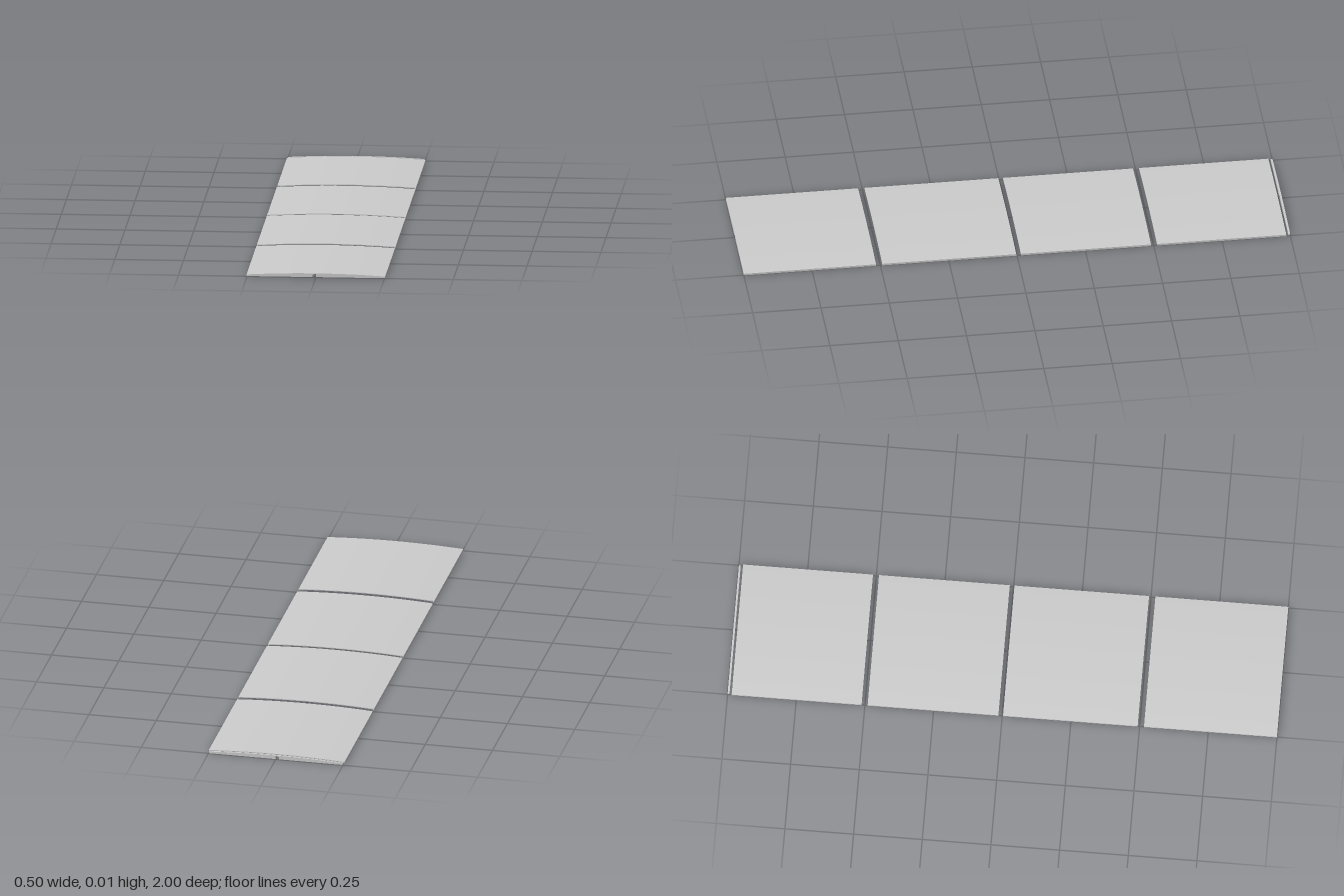
import * as THREE from 'three';

const HALF = 0.252, EDGE = 0.007, TOP = 0.015, SKIN = 0.003, FLANGE = 0.004;
const material = new THREE.MeshStandardMaterial({ color: 0xcccccc });

// Height of the shallow camber at x
const camber = (x) => EDGE + (TOP - EDGE) * (1 - (x / HALF) ** 2);

// Points along the camber from x = a to x = b, lowered by drop
function arc(a, b, drop = 0, steps = 10) {
  return Array.from({ length: steps + 1 }, (_, i) => {
    const x = a + ((b - a) * i) / steps;
    return new THREE.Vector2(x, camber(x) - drop);
  });
}

// Extrude a cross-section from z0 to z1, mirrored by side
function extrude(name, points, side, z0, z1) {
  const shape = new THREE.Shape(points.map((p) => new THREE.Vector2(p.x * side, p.y)));
  const geometry = new THREE.ExtrudeGeometry(shape, { depth: z1 - z0, bevelEnabled: false });
  geometry.translate(0, 0, z0);
  const mesh = new THREE.Mesh(geometry, material);
  mesh.name = name;
  return mesh;
}

// Half of a thin cambered panel with a down-turned outer flange
function halfPanel(side, z0, z1) {
  const inner = HALF - FLANGE;
  const section = [
    ...arc(0, HALF),
    new THREE.Vector2(HALF, 0),
    new THREE.Vector2(inner, 0),
    ...arc(inner, 0, SKIN),
  ];
  return extrude(side > 0 ? 'leftHalf' : 'rightHalf', section, side, z0, z1);
}

// End wall in two halves, with a small notch beside the centre line
function endWall(name, z0, z1, half) {
  const wall = new THREE.Group();
  wall.name = name;
  const left = [new THREE.Vector2(0, 0.001), ...arc(0, half), new THREE.Vector2(half, 0.001)];
  const right = [
    new THREE.Vector2(0.012, 0.001),
    new THREE.Vector2(0.012, 0.009),
    new THREE.Vector2(0, 0.0135),
    ...arc(0, half),
    new THREE.Vector2(half, 0.001),
  ];
  wall.add(extrude('leftWall', left, 1, z0, z1), extrude('rightWall', right, -1, z0, z1));
  return wall;
}

export function createModel() {
  const model = new THREE.Group();
  model.name = 'panelRow';

  // Four cambered panels with narrow gaps between them
  const spans = [[-0.985, -0.512], [-0.49, -0.014], [0.003, 0.493], [0.516, 0.994]];
  spans.forEach(([z0, z1], i) => {
    const panel = new THREE.Group();
    panel.name = `panel${i + 1}`;
    panel.add(halfPanel(1, z0, z1), halfPanel(-1, z0, z1));
    model.add(panel);
  });

  // Closing walls at both ends
  model.add(endWall('frontWall', 0.994, 1, HALF));
  model.add(endWall('backWall', -1, -0.993, 0.248));
  return model;
}
